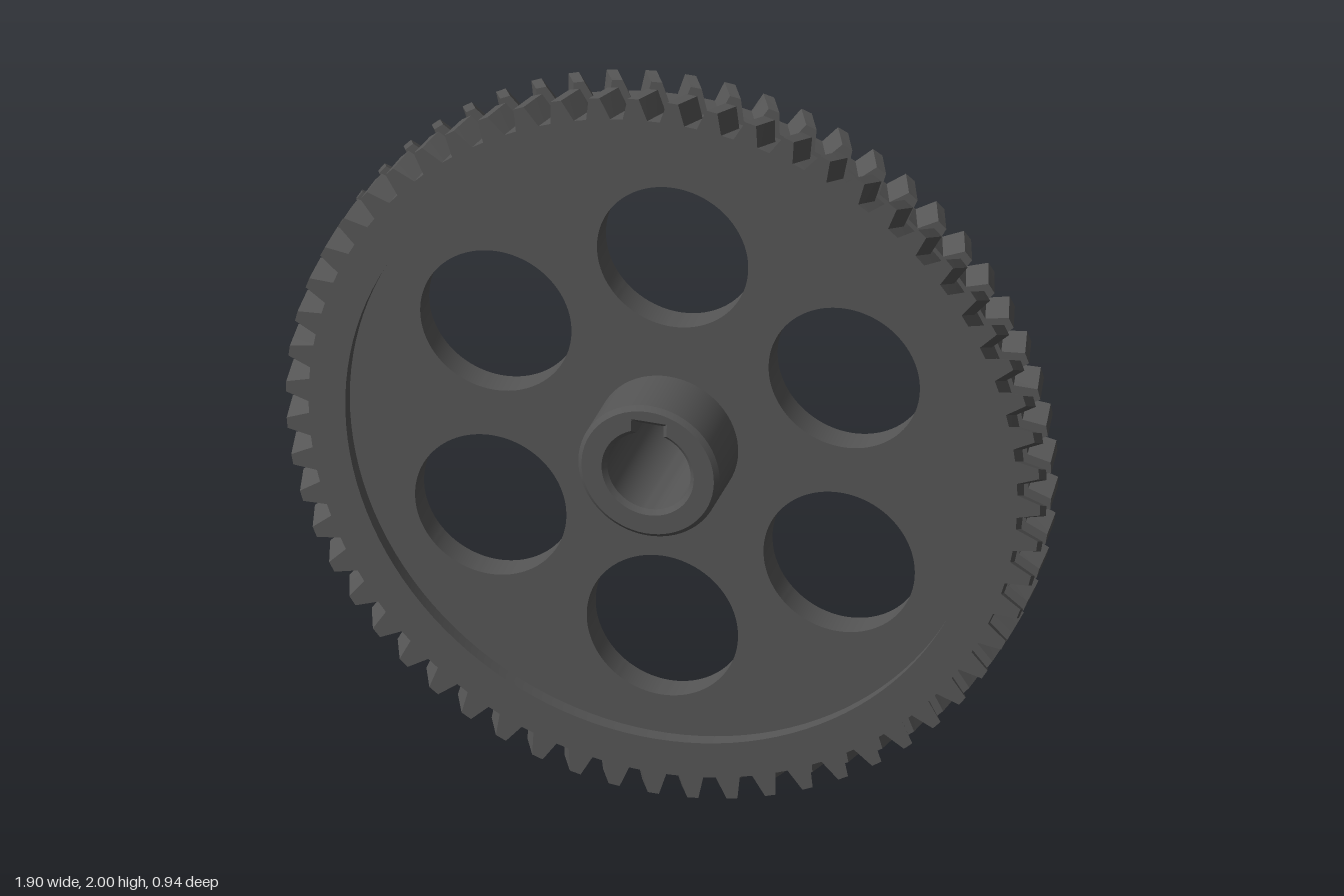
import * as THREE from 'three';
import { toCreasedNormals } from 'three/addons/utils/BufferGeometryUtils.js';

const TEETH = 60, TIP = 0.997, ROOT = 0.937, RIM_INNER = 0.84;
const HALF = 0.08, GROOVE = 0.02, WEB = 0.04;

const material = new THREE.MeshStandardMaterial({ color: 0x555555 });

function circle(r, x = 0, y = 0, Type = THREE.Path) {
  return new Type().absarc(x, y, r, 0, Math.PI * 2, false);
}

// Extrudes a shape between two positions along the axle
function slab(shape, z0, z1, options = {}) {
  const bevel = options.bevel || 0;
  const g = new THREE.ExtrudeGeometry(shape, {
    depth: z1 - z0 - 2 * bevel, curveSegments: options.segments || 64, steps: options.steps || 1,
    bevelEnabled: bevel > 0, bevelThickness: bevel, bevelSize: bevel, bevelOffset: -bevel, bevelSegments: 1,
  });
  return g.translate(0, 0, z0 + bevel);
}

function part(name, geometry) {
  const m = new THREE.Mesh(toCreasedNormals(geometry, 0.45), material);
  m.name = name;
  return m;
}

// Outline of the toothed ring, four corners per tooth
function gearShape() {
  const pitch = (Math.PI * 2) / TEETH, pts = [];
  for (let i = 0; i < TEETH; i++) {
    for (const [f, r] of [[-0.33, ROOT], [-0.14, TIP], [0.14, TIP], [0.33, ROOT]]) {
      const a = (i + f) * pitch + Math.PI / 2;
      pts.push(new THREE.Vector2(r * Math.cos(a), r * Math.sin(a)));
    }
  }
  const s = new THREE.Shape(pts);
  s.holes.push(circle(RIM_INNER));
  return s;
}

// One helical half: the teeth turn steadily away from the central groove
function toothRing(side) {
  const g = side > 0 ? slab(gearShape(), GROOVE, HALF, { steps: 3 }) : slab(gearShape(), -HALF, -GROOVE, { steps: 3 });
  const p = g.attributes.position;
  for (let i = 0; i < p.count; i++) {
    const t = (Math.abs(p.getZ(i)) - HALF) * 0.55;
    const x = p.getX(i), y = p.getY(i);
    p.setXY(i, x * Math.cos(t) - y * Math.sin(t), x * Math.sin(t) + y * Math.cos(t));
  }
  return g;
}

// Bore outline with a keyway at the top
function boreWithKeyway(r, halfWidth, top) {
  const a = Math.acos(halfWidth / r);
  const path = new THREE.Path();
  path.moveTo(halfWidth, top);
  path.lineTo(-halfWidth, top);
  path.absarc(0, 0, r, Math.PI - a, Math.PI * 2 + a, false);
  path.closePath();
  return path;
}

export function createModel() {
  const wheel = new THREE.Group();
  wheel.name = 'gearWheel';

  // Double helical rim with a groove between its halves
  wheel.add(part('frontTeeth', toothRing(1)), part('backTeeth', toothRing(-1)));
  const floor = new THREE.CylinderGeometry(0.925, 0.925, GROOVE * 2, 128, 1, true).rotateX(Math.PI / 2);
  wheel.add(part('rimGroove', floor));

  // Recessed web with six lightening holes
  const web = circle(RIM_INNER + 0.01, 0, 0, THREE.Shape);
  web.holes.push(circle(0.15));
  for (let i = 0; i < 6; i++) {
    const a = Math.PI / 2 + (i * Math.PI) / 3;
    web.holes.push(circle(0.2, 0.532 * Math.cos(a), 0.532 * Math.sin(a)));
  }
  wheel.add(part('web', slab(web, -WEB, WEB)));

  // Hub sleeve with chamfered bore, and the wider collar behind the web
  const hub = circle(0.187, 0, 0, THREE.Shape);
  hub.holes.push(boreWithKeyway(0.11, 0.035, 0.135));
  wheel.add(part('hub', slab(hub, -0.226, 0.216, { bevel: 0.012, segments: 32 })));
  const collar = circle(0.217, 0, 0, THREE.Shape);
  collar.holes.push(circle(0.175));
  wheel.add(part('backCollar', slab(collar, -0.226, 0, { segments: 32 })));

  // Tilted resting pose
  wheel.rotation.set(-0.085, 0.4, 0, 'YXZ');
  wheel.position.y = 1;

  const model = new THREE.Group();
  model.name = 'gear';
  model.add(wheel);
  return model;
}
